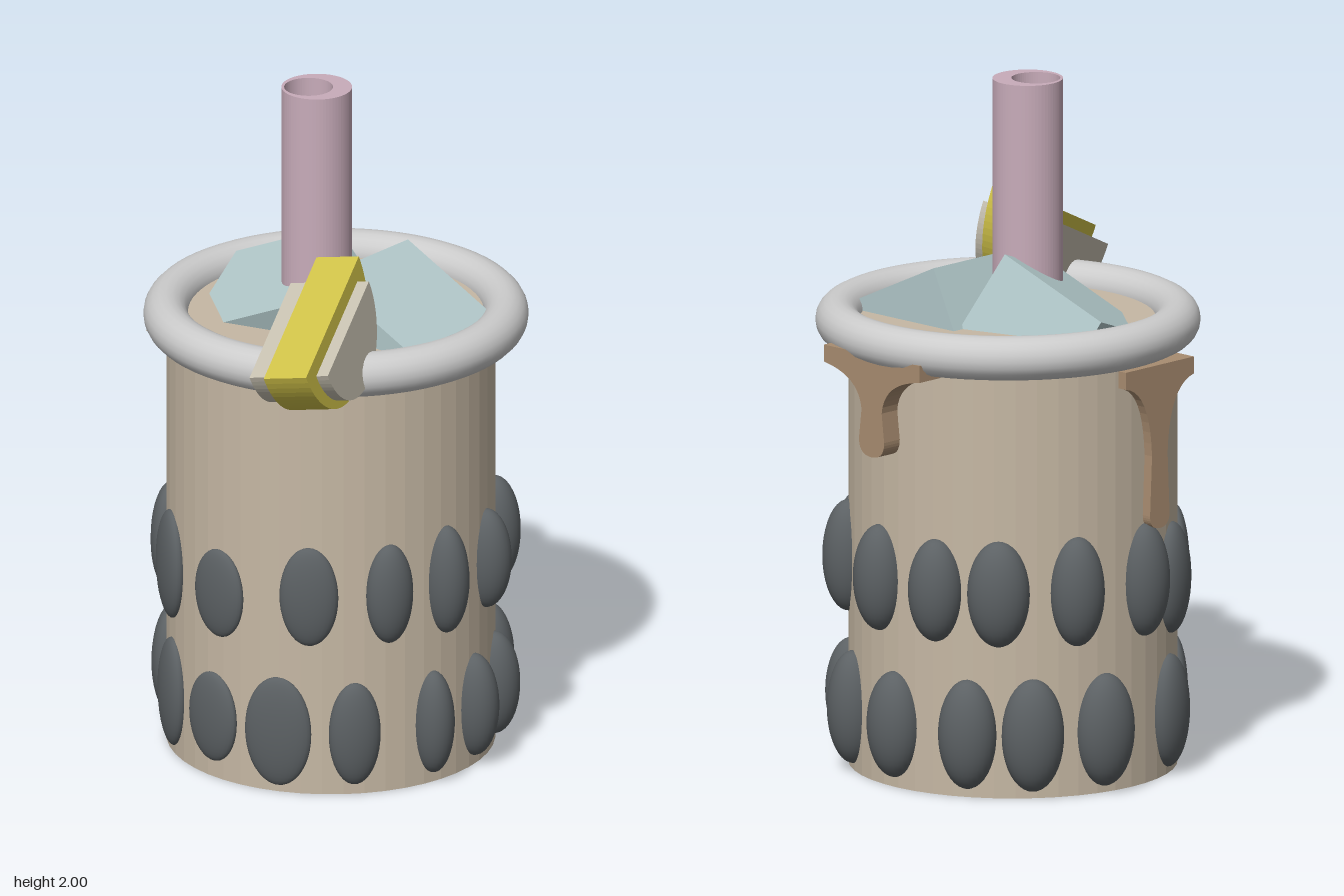
import * as THREE from 'three';

const mat = (color, flatShading = false) => new THREE.MeshStandardMaterial({ color, flatShading });
const V = (x, y, z) => new THREE.Vector3(x, y, z);

export function createModel() {
  const model = new THREE.Group();
  const add = (name, geometry, material, x = 0, y = 0, z = 0, parent = model) => {
    const mesh = new THREE.Mesh(geometry, material);
    mesh.name = name;
    mesh.position.set(x, y, z);
    parent.add(mesh);
    return mesh;
  };
  const cx = 0.002, cz = -0.08, radius = 0.471;

  // Cup filled to the brim, with a thick rim ring
  add('cup', new THREE.CylinderGeometry(radius, radius, 1.3, 48), mat(0xc6b8a4, true), cx, 0.65, cz);
  const rim = add('rim', new THREE.TorusGeometry(0.487, 0.064, 20, 72), mat(0xcccccc), 0.017, 1.297, -0.085);
  rim.rotation.x = Math.PI / 2;

  // Straw with an off-centre bore
  const strawMat = mat(0xc8acba);
  const ring = new THREE.Shape().absarc(0, 0, 0.101, 0, Math.PI * 2, false);
  ring.holes.push(new THREE.Path().absarc(-0.017, -0.016, 0.07, 0, Math.PI * 2, true));
  const tube = new THREE.ExtrudeGeometry(ring, { depth: 0.95, bevelEnabled: false, curveSegments: 32 });
  tube.rotateX(-Math.PI / 2);
  add('straw', tube, strawMat, -0.01, 1.05, -0.032);
  add('strawBase', new THREE.CylinderGeometry(0.101, 0.101, 1.045, 32), strawMat, -0.01, 0.5275, -0.032);

  // Ice cubes poking out of the drink
  const iceMat = mat(0xb2c8ca, true);
  const iceRight = add('iceCubeRight', new THREE.BoxGeometry(0.372, 0.372, 0.375), iceMat);
  const tilt = THREE.MathUtils.degToRad(25), half = 0.186;
  iceRight.rotation.z = -tilt;
  iceRight.position.set(
    0.09 + half * (Math.cos(tilt) - Math.sin(tilt)),
    1.472 - half * (Math.cos(tilt) + Math.sin(tilt)), -0.128);

  // The second cube hangs from its highest corner along three edge directions
  const u = V(0.101, -0.125, 0.348).normalize();
  const down = u.clone().cross(V(-0.328, -0.15, 0.053)).normalize();
  const v = down.clone().cross(u);
  const iceLeft = add('iceCubeLeft', new THREE.BoxGeometry(0.375, 0.375, 0.375), iceMat);
  iceLeft.quaternion.setFromRotationMatrix(new THREE.Matrix4().makeBasis(u, v, down));
  iceLeft.position.set(-0.062, 1.515, -0.18).addScaledVector(u.clone().add(v).add(down), 0.1875);

  // Citrus wedge: half-disc peel and a smaller pulp showing on both sides
  const wedge = new THREE.Group();
  wedge.name = 'citrusWedge';
  const chord = V(0.361, -0.361, 0.86).normalize();
  const up = chord.clone().cross(V(0.909, 0.189, -0.379)).normalize();
  wedge.quaternion.setFromRotationMatrix(
    new THREE.Matrix4().makeBasis(chord, up, chord.clone().cross(up)));
  wedge.position.set(0.3215, 1.498, 0.378);
  model.add(wedge);
  const halfDisc = (r, depth) => {
    const s = new THREE.Shape().absarc(0, 0, r, Math.PI, Math.PI * 2, false);
    s.closePath();
    return new THREE.ExtrudeGeometry(s, { depth, bevelEnabled: false, curveSegments: 20 });
  };
  add('peel', halfDisc(0.263, 0.132), mat(0xcfc148), 0, 0, -0.066, wedge);
  add('pulp', halfDisc(0.205, 0.244), mat(0xc6c0b0), 0, -0.045, -0.102, wedge);

  // Pearls in two rows: angle from the front, height, half width, half height
  const rows = {
    upperPearl: [
      [-2, 0.57, 0.09, 0.133], [33, 0.605, 0.085, 0.15], [61.5, 0.605, 0.07, 0.15],
      [85, 0.61, 0.064, 0.163], [111, 0.605, 0.065, 0.15], [137, 0.61, 0.075, 0.163],
      [170, 0.605, 0.08, 0.155], [196, 0.6, 0.08, 0.15], [219, 0.6, 0.09, 0.155],
      [247, 0.6, 0.08, 0.16], [277, 0.6, 0.08, 0.165], [298, 0.57, 0.09, 0.163],
      [325, 0.57, 0.1, 0.163]],
    lowerPearl: [
      [-5, 0.185, 0.093, 0.135], [22, 0.185, 0.1, 0.165], [49, 0.185, 0.075, 0.155],
      [79, 0.185, 0.06, 0.155], [101, 0.185, 0.065, 0.155], [123, 0.185, 0.07, 0.155],
      [148, 0.185, 0.08, 0.165], [178, 0.185, 0.085, 0.155], [208, 0.185, 0.085, 0.16],
      [231, 0.185, 0.09, 0.165], [258, 0.185, 0.09, 0.165], [295, 0.185, 0.095, 0.165],
      [327, 0.185, 0.09, 0.163]],
  };
  const pearlGeo = new THREE.SphereGeometry(1, 28, 20), pearlMat = mat(0x5c6164);
  for (const [name, pearls] of Object.entries(rows)) {
    for (const [degrees, y, w, h] of pearls) {
      const a = THREE.MathUtils.degToRad(degrees);
      const bulge = 0.075 - 0.045 * Math.max(0, Math.cos(a));
      const pearl = add(name, pearlGeo, pearlMat,
        cx + radius * Math.sin(a), y, cz + radius * Math.cos(a));
      pearl.rotation.y = a;
      pearl.scale.set(w, h, bulge);
    }
  }

  // Drips running down from under the rim: wide top narrowing to a rounded stem
  const dripMat = mat(0xa88c70);
  const drip = (w, h, stem, depth) => {
    const s = new THREE.Shape();
    s.moveTo(-w, 0);
    s.lineTo(w, 0);
    s.lineTo(w, -0.05);
    s.quadraticCurveTo(stem, -0.07, stem * 0.8, -h * 0.55);
    s.lineTo(stem, -h + stem);
    s.quadraticCurveTo(stem, -h, 0, -h);
    s.quadraticCurveTo(-stem, -h, -stem, -h + stem);
    s.lineTo(-stem * 0.8, -h * 0.55);
    s.quadraticCurveTo(-stem, -0.07, -w, -0.05);
    s.closePath();
    return new THREE.ExtrudeGeometry(s, { depth, bevelEnabled: false, curveSegments: 10 });
  };
  const backDrip = add('backDrip', drip(0.19, 0.3, 0.05, 0.11), dripMat, 0.047, 1.275, -0.505);
  backDrip.rotation.y = Math.PI;
  const sideDrip = add('sideDrip', drip(0.14, 0.48, 0.04, 0.1), dripMat, -0.395, 1.23, 0.01);
  sideDrip.rotation.y = -Math.PI / 2;

  return model;
}
